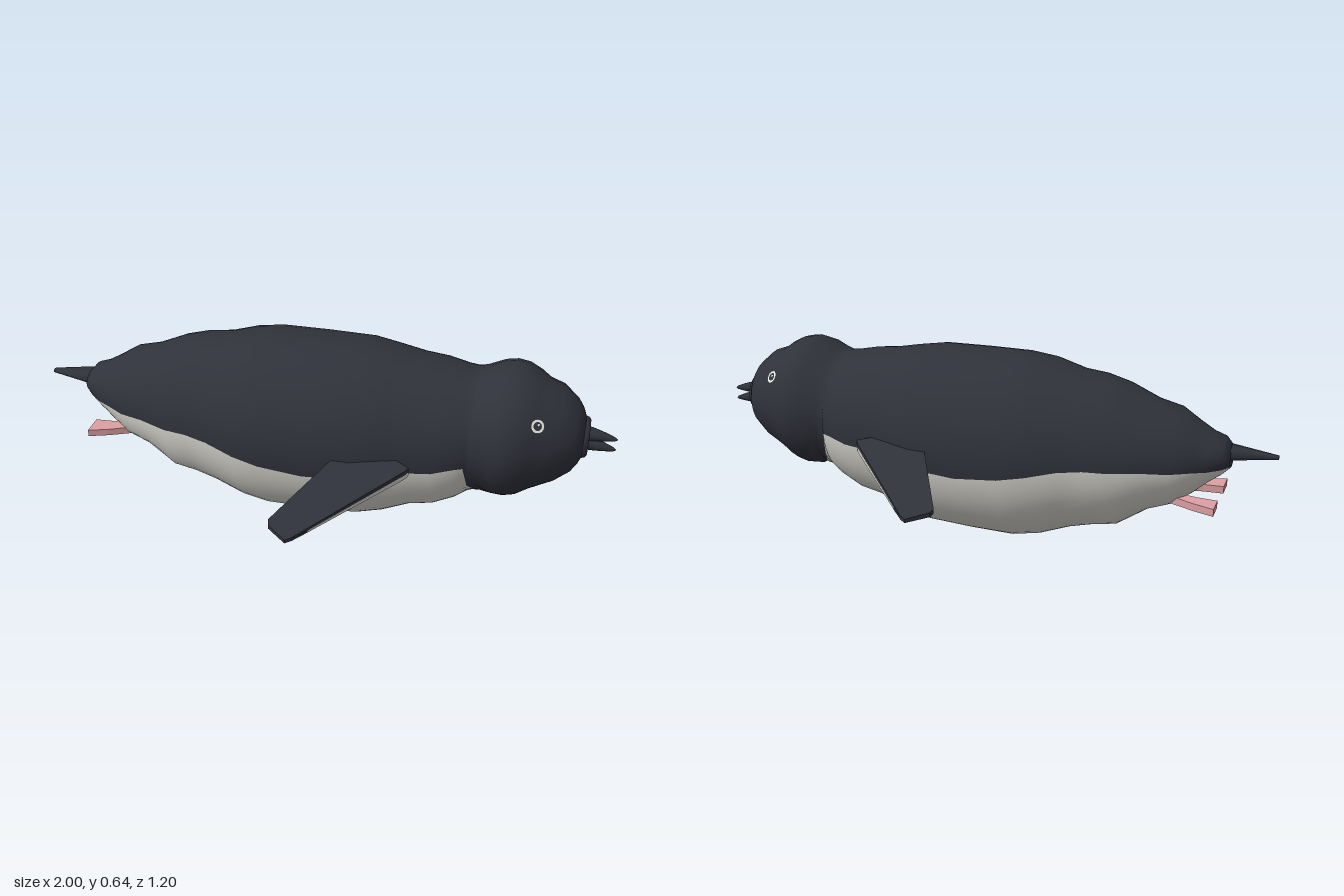
import * as THREE from 'three';

const mat = (name, color, side = THREE.FrontSide) => {
  const m = new THREE.MeshStandardMaterial({ color, side });
  m.name = name;
  return m;
};

// Body stations along x: x, top y, bottom y, half width, y of the colour edge
const STATIONS = [
  [-0.855, 0.405, 0.335, 0.05, 0.345], [-0.83, 0.433, 0.31, 0.075, 0.342], [-0.79, 0.445, 0.28, 0.1, 0.34],
  [-0.74, 0.475, 0.235, 0.125, 0.34], [-0.68, 0.513, 0.19, 0.16, 0.34], [-0.6, 0.532, 0.16, 0.18, 0.34],
  [-0.5, 0.575, 0.092, 0.22, 0.34], [-0.42, 0.597, 0.078, 0.232, 0.34], [-0.34, 0.605, 0.058, 0.25, 0.332],
  [-0.24, 0.634, 0.02, 0.278, 0.31], [-0.15, 0.645, 0.002, 0.288, 0.292], [0, 0.646, 0.004, 0.289, 0.277],
  [0.16, 0.644, 0.012, 0.286, 0.288], [0.25, 0.63, 0.034, 0.265, 0.305], [0.34, 0.613, 0.073, 0.245, 0.318],
  [0.42, 0.604, 0.09, 0.24, 0.325], [0.49, 0.59, 0.122, 0.217, 0.337], [0.52, 0.587, 0.145, 0.208, 0.34],
  [0.535, 0.588, 0.157, 0.205, 0.25], [0.56, 0.597, 0.164, 0.205, 0.2], [0.61, 0.62, 0.158, 0.213, 0.15],
  [0.65, 0.628, 0.155, 0.215, 0], [0.69, 0.622, 0.165, 0.208, 0], [0.73, 0.602, 0.19, 0.188, 0],
  [0.76, 0.58, 0.205, 0.172, 0], [0.81, 0.562, 0.23, 0.152, 0], [0.86, 0.518, 0.27, 0.118, 0],
  [0.88, 0.488, 0.3, 0.09, 0], [0.895, 0.45, 0.335, 0.058, 0],
];

// One smooth skin with a dark back and a pale belly as geometry groups
function bodyGeometry() {
  const NB = 26, NW = 22, N = NB + NW;
  const pos = [], dark = [], pale = [];
  for (const [x, top, bot, w, edge] of STATIONS) {
    const cy = (top + bot) / 2, ry = (top - bot) / 2;
    const t = Math.asin(THREE.MathUtils.clamp((edge - cy) / ry, -1, 1));
    for (let j = 0; j < N; j++) {
      const a = j < NB
        ? t + (Math.PI - 2 * t) * (j / NB)
        : Math.PI - t + (Math.PI + 2 * t) * ((j - NB) / NW);
      pos.push(x, cy + ry * Math.sin(a), w * Math.cos(a));
    }
  }
  for (let i = 0; i < STATIONS.length - 1; i++) {
    for (let j = 0; j < N; j++) {
      if (j >= NB && STATIONS[i][4] <= STATIONS[i][2]) continue;
      const k = (j + 1) % N;
      const a = i * N + j, b = a + N, c = (i + 1) * N + k, d = i * N + k;
      (j < NB ? dark : pale).push(a, b, c, a, c, d);
    }
  }
  // Close the rump and the face
  const last = (STATIONS.length - 1) * N;
  for (let j = 1; j < N - 1; j++) {
    dark.push(0, j, j + 1);
    dark.push(last, last + j + 1, last + j);
  }
  const g = new THREE.BufferGeometry();
  g.setAttribute('position', new THREE.Float32BufferAttribute(pos, 3));
  g.setIndex([...dark, ...pale]);
  g.addGroup(0, dark.length, 0);
  g.addGroup(dark.length, pale.length, 1);
  g.computeVertexNormals();
  return g;
}

// Plate from an (x, z) outline: occupies depths d0..d1 below its top face
function plate(points, side, d0, d1) {
  const shape = new THREE.Shape(points.map(([x, z]) => new THREE.Vector2(x, z * side)));
  const g = new THREE.ExtrudeGeometry(shape, { depth: d1 - d0, bevelEnabled: false });
  return g.rotateX(Math.PI / 2).translate(0, -d0, 0);
}

// Flippers slope down and grow thinner toward the tip
function slope(g) {
  const p = g.attributes.position;
  for (let i = 0; i < p.count; i++) {
    const z = Math.abs(p.getZ(i));
    const f = THREE.MathUtils.clamp((z - 0.25) / 0.35, 0, 1);
    p.setY(i, 0.368 - 0.315 * (z - 0.25) + p.getY(i) * (0.034 - 0.022 * f));
  }
  g.computeVertexNormals();
  return g;
}

export function createModel() {
  const black = mat('charcoal plumage', 0x30323b);
  const white = mat('pale plumage', 0xd2d1ca);
  const pink = mat('pink feet', 0xdd9fa3);
  const eyeWhite = mat('eye ring', 0xeeeeea, THREE.DoubleSide);

  const model = new THREE.Group();
  model.name = 'penguin';
  const add = (name, geometry, material, parent = model) => {
    const m = new THREE.Mesh(geometry, material);
    m.name = name;
    parent.add(m);
    return m;
  };

  add('body', bodyGeometry(), [black, white]);

  // Tail: a flattened tapering wedge
  const tail = new THREE.CylinderGeometry(0.012, 0.05, 0.17, 8).rotateZ(Math.PI / 2);
  tail.scale(1, 0.55, 1);
  add('tail', tail, black).position.set(-0.915, 0.385, 0);

  // Beak: collar and two parted halves
  const collar = new THREE.TorusGeometry(0.054, 0.017, 10, 28).rotateY(Math.PI / 2);
  add('beakCollar', collar, black).position.set(0.89, 0.392, 0);
  const beakProfile = [[0.027, 0], [0.026, 0.03], [0.018, 0.07], [0.008, 0.105], [0, 0.115]];
  for (const [name, y, tilt] of [['upperBeak', 0.41, -0.13], ['lowerBeak', 0.374, -0.16]]) {
    const g = new THREE.LatheGeometry(beakProfile.map(([r, h]) => new THREE.Vector2(r, h)), 14);
    g.scale(0.85, 1, 0.9).rotateZ(-Math.PI / 2);
    const m = add(name, g, black);
    m.position.set(0.886, y, 0);
    m.rotation.z = tilt;
  }

  const wingInner = [[0.17, 0.2], [0.23, 0.21], [0.355, 0.272], [0.345, 0.287]];
  const wingOuter = [[0.05, 0.585], [0.03, 0.598], [-0.035, 0.553], [-0.04, 0.535]];
  const wingCut = [[0.09, 0.546], [-0.01, 0.485]];
  const footOutline = [[-0.67, 0.04], [-0.67, 0.075], [-0.76, 0.115], [-0.828, 0.138], [-0.828, 0.063], [-0.76, 0.058]];

  for (const side of [1, -1]) {
    const label = side > 0 ? 'front' : 'back';

    // Flipper: dark top, pale underside, dark tip
    const flipper = new THREE.Group();
    flipper.name = label + 'Flipper';
    model.add(flipper);
    add('flipperTop', slope(plate([...wingInner, ...wingOuter, [0.1, 0.285]], side, 0, 0.5)), black, flipper);
    add('flipperUnderside', slope(plate([...wingInner, ...wingCut, [0.1, 0.285]], side, 0.5, 1)), white, flipper);
    add('flipperTip', slope(plate([wingCut[0], ...wingOuter, wingCut[1]], side, 0.5, 1)), black, flipper);

    // Foot
    add(label + 'Foot', plate(footOutline, side, 0, 0.025), pink).position.y = 0.236;

    // Eye: thin pale ring with a small glint
    const eye = new THREE.Group();
    eye.name = label + 'Eye';
    eye.position.set(0.738, 0.508, side * 0.159);
    eye.lookAt(0.738 + 0.42, 0.508 + 0.55, side * (0.159 + 0.8));
    model.add(eye);
    add('eyeRing', new THREE.RingGeometry(0.014, 0.023, 20), eyeWhite, eye).position.z = 0.004;
    add('pupil', new THREE.CircleGeometry(0.014, 20), black, eye).position.z = 0.004;
    add('glint', new THREE.CircleGeometry(0.004, 8), eyeWhite, eye).position.set(0.003, 0.004, 0.006);
  }
  return model;
}
